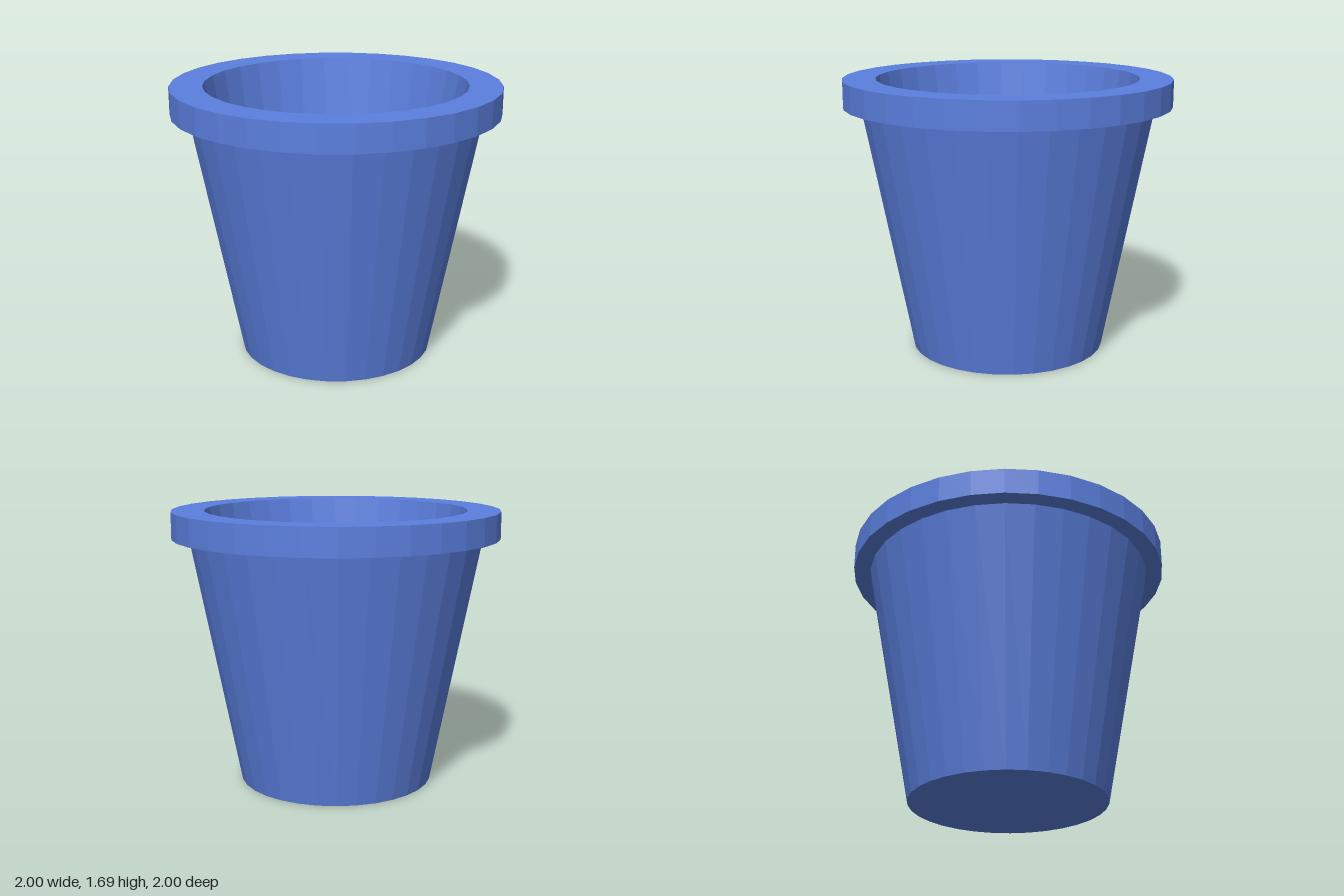
import * as THREE from 'three';

const SIDES = 32;

export function createModel() {
  const group = new THREE.Group();
  group.name = 'flowerPot';
  const material = new THREE.MeshStandardMaterial({ color: 0x5b7fde, flatShading: true });

  // Revolve a profile of [radius, height] points around the y axis
  const revolve = (name, profile) => {
    const points = profile.map(([r, y]) => new THREE.Vector2(r, y));
    const mesh = new THREE.Mesh(new THREE.LatheGeometry(points, SIDES), material);
    mesh.name = name;
    group.add(mesh);
  };

  // Base disc and tapered outer wall
  revolve('outerWall', [[0, 0], [0.6, 0], [0.895, 1.525]]);

  // Overhanging rim: underside, outer band and top ring
  revolve('rim', [[0.895, 1.525], [1, 1.525], [1, 1.69], [0.8, 1.69]]);

  // Tapered inner wall down to the floor
  revolve('innerWall', [[0.8, 1.69], [0.555, 0.165], [0, 0.165]]);

  return group;
}
